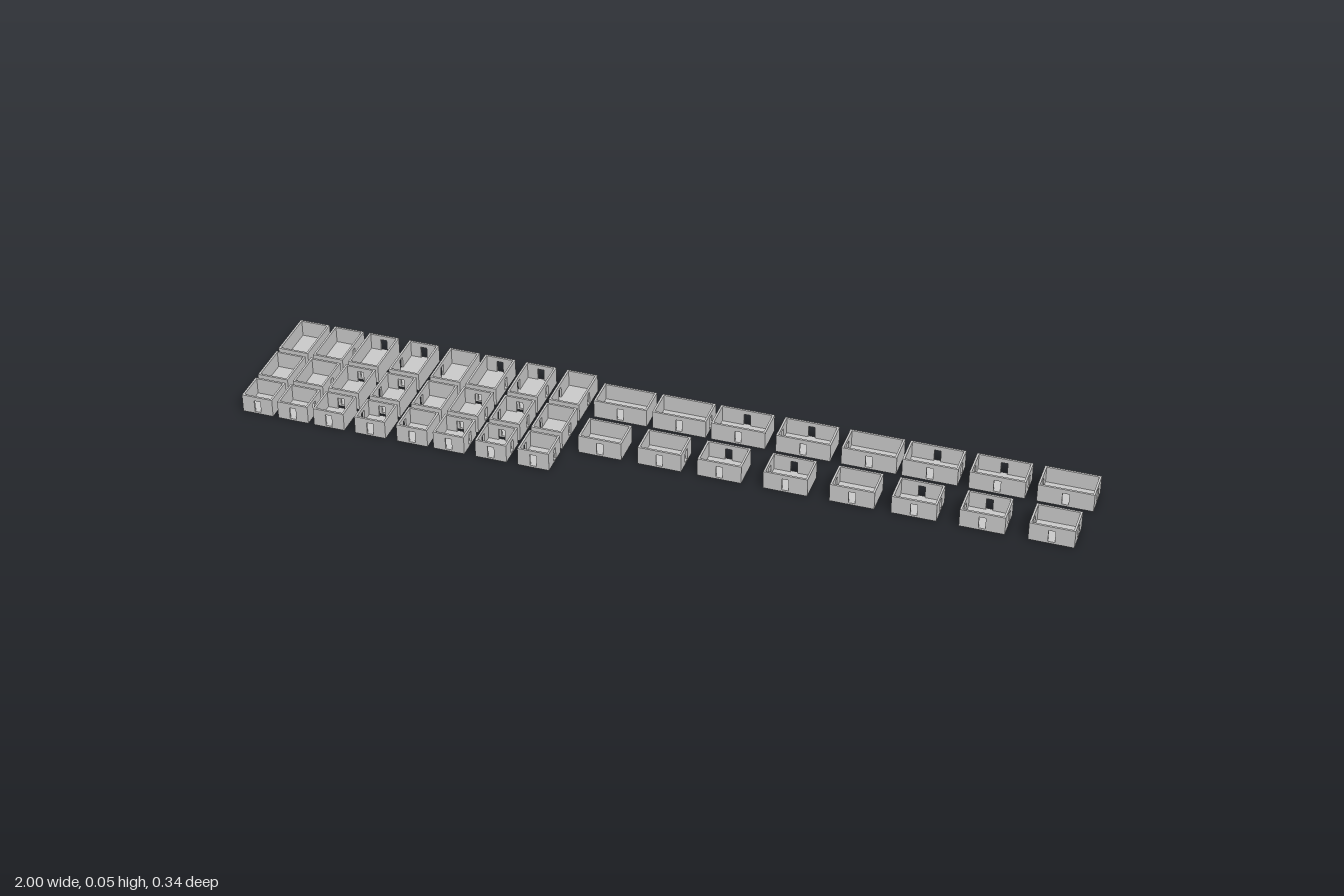
import * as THREE from 'three';

const HEIGHT = 0.046, WALL = 0.005, FLOOR = 0.005;
const DOOR_W = 0.016, DOOR_TOP = 0.035;
const material = new THREE.MeshStandardMaterial({ color: 0xcccccc, flatShading: true });

// Upright wall centred on x, standing on the floor, with an optional doorway notch
function wallGeometry(length, hasDoor) {
  const l = length / 2, d = DOOR_W / 2;
  const s = new THREE.Shape();
  s.moveTo(-l, FLOOR);
  if (hasDoor) {
    s.lineTo(-d, FLOOR);
    s.lineTo(-d, DOOR_TOP);
    s.lineTo(d, DOOR_TOP);
    s.lineTo(d, FLOOR);
  }
  s.lineTo(l, FLOOR);
  s.lineTo(l, HEIGHT);
  s.lineTo(-l, HEIGHT);
  s.closePath();
  const g = new THREE.ExtrudeGeometry(s, { depth: WALL, bevelEnabled: false });
  return g.translate(0, 0, -WALL / 2);
}

// Open-topped room; doors is a string of sides: f(ront) b(ack) l(eft, +x) r(ight, -x)
function createRoom(width, depth, doors) {
  const room = new THREE.Group();
  const floor = new THREE.Mesh(new THREE.BoxGeometry(width, FLOOR, depth), material);
  floor.name = 'floor';
  floor.position.y = FLOOR / 2;
  room.add(floor);

  const x = (width - WALL) / 2, z = (depth - WALL) / 2;
  const sides = [
    ['f', 'frontWall', width, 0, z, 0],
    ['b', 'backWall', width, 0, -z, 0],
    ['l', 'leftWall', depth - 2 * WALL, x, 0, Math.PI / 2],
    ['r', 'rightWall', depth - 2 * WALL, -x, 0, Math.PI / 2],
  ];
  for (const [key, name, length, px, pz, turn] of sides) {
    const wall = new THREE.Mesh(wallGeometry(length, doors.includes(key)), material);
    wall.name = name;
    wall.position.set(px, 0, pz);
    wall.rotation.y = turn;
    room.add(wall);
  }
  return room;
}

export function createModel() {
  const model = new THREE.Group();
  model.name = 'roomKit';

  // One doorway layout per column
  const layouts = ['f', 'fl', 'fb', 'fbr', 'fr', 'fbl', 'fblr', 'flr'];
  const deepX = [-0.962, -0.871, -0.779, -0.674, -0.568, -0.476, -0.371, -0.266];
  const wideX = [-0.135, 0.011, 0.156, 0.314, 0.472, 0.617, 0.775, 0.934];

  // Rows of rooms: name, column positions, width, depth, z
  const rows = [
    ['squareRoom', deepX, 0.077, 0.078, 0.132],
    ['deepRoom', deepX, 0.077, 0.106, 0.027],
    ['longDeepRoom', deepX, 0.077, 0.132, -0.105],
    ['wideRoom', wideX, 0.106, 0.078, 0.041],
    ['longWideRoom', wideX, 0.132, 0.078, -0.106],
  ];
  for (const [name, xs, width, depth, z] of rows) {
    xs.forEach((x, i) => {
      const room = createRoom(width, depth, layouts[i]);
      room.name = name + (i + 1);
      room.position.set(x, 0, z);
      model.add(room);
    });
  }
  return model;
}
